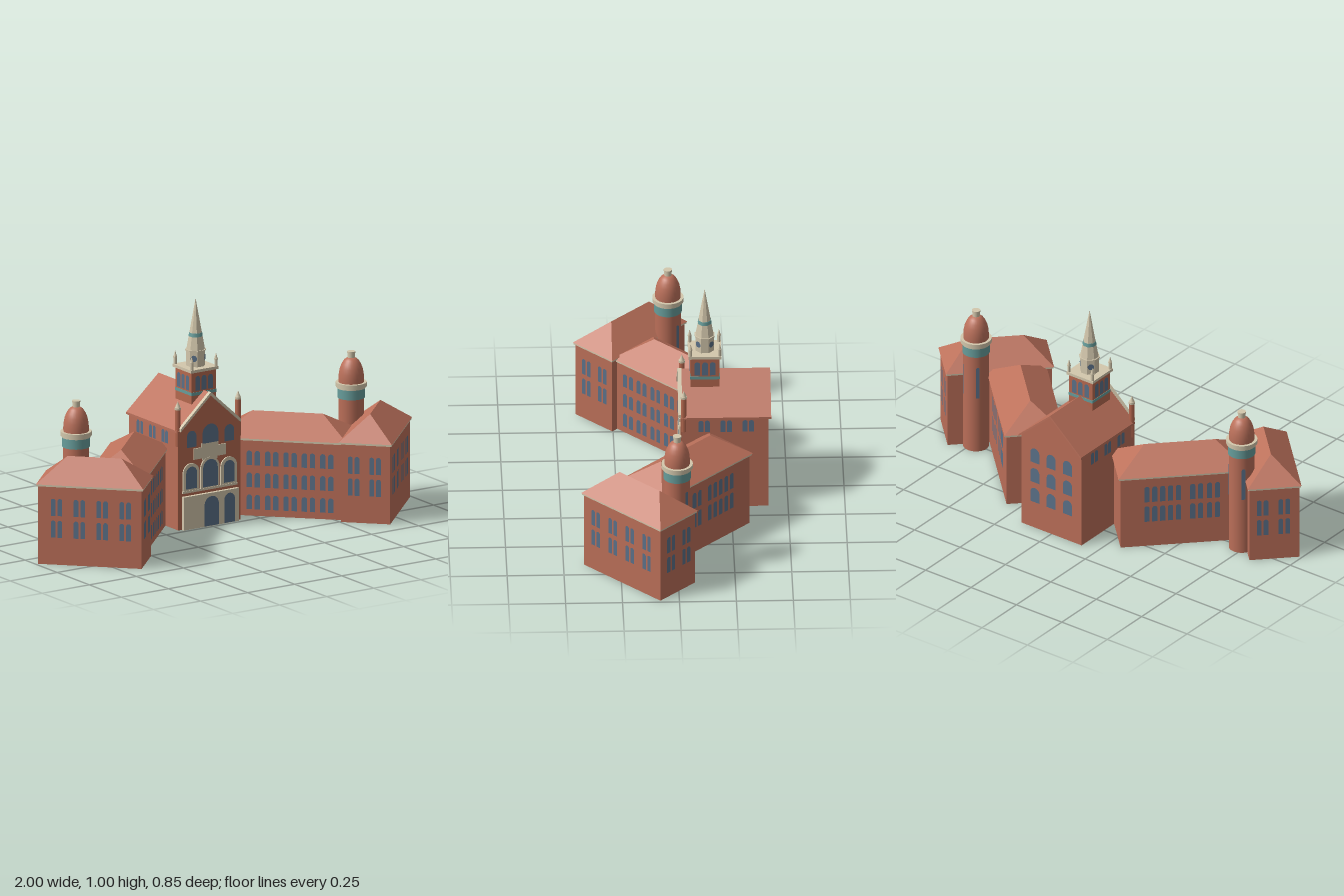
import * as THREE from 'three';

const mat = (name, color, extra = {}) => {
  const m = new THREE.MeshStandardMaterial({ color, ...extra });
  m.name = name;
  return m;
};

export function createModel() {
  const brick = mat('brick', 0xba6e58, { side: THREE.DoubleSide });
  const facadeBrick = mat('facadeBrick', 0xb5684f);
  const tile = mat('roofTile', 0xbc715b);
  const stone = mat('paleStone', 0xd3c7ac);
  const teal = mat('tealBand', 0x679d9b);
  const glass = mat('windowGlass', 0x5a7088);
  const stoneFlat = mat('spireStone', 0xd3c7ac, { flatShading: true });

  const model = new THREE.Group();
  model.name = 'hall';

  const add = (parent, name, geo, material, x = 0, y = 0, z = 0, ry = 0) => {
    const m = new THREE.Mesh(geo, material);
    m.name = name;
    m.position.set(x, y, z);
    m.rotation.y = ry;
    parent.add(m);
    return m;
  };
  // box given by its limits
  const block = (parent, name, material, x0, x1, y0, y1, z0, z1) =>
    add(parent, name, new THREE.BoxGeometry(x1 - x0, y1 - y0, z1 - z0), material,
      (x0 + x1) / 2, (y0 + y1) / 2, (z0 + z1) / 2);
  // four walls only, open above and below
  const walls = (...args) => {
    const g = block(...args).geometry;
    g.setIndex([...g.index.array].filter((_, i) => i < 12 || i >= 24));
    g.clearGroups();
  };

  const poly = pts => new THREE.Shape(pts.map(p => new THREE.Vector2(...p)));
  const extrude = (shapes, depth) =>
    new THREE.ExtrudeGeometry(shapes, { depth, bevelEnabled: false, curveSegments: 6 });

  // round-headed opening
  const arch = (cx, y0, w, h) => {
    const r = w / 2, s = new THREE.Shape();
    s.moveTo(cx - r, y0);
    s.lineTo(cx + r, y0);
    s.lineTo(cx + r, y0 + h - r);
    s.absarc(cx, y0 + h - r, r, 0, Math.PI, false);
    s.closePath();
    return s;
  };
  // grid of flat arched panes just proud of one wall
  const panes = (parent, name, xs, ys, w, h, x, z, ry) =>
    add(parent, name, new THREE.ShapeGeometry(xs.flatMap(cx => ys.map(y => arch(cx, y, w, h))), 6), glass,
      x + 0.002 * Math.sin(ry), 0, z + 0.002 * Math.cos(ry), ry);
  const pairs = (centres, gap = 0.03) => centres.flatMap(c => [c - gap / 2, c + gap / 2]);

  // hipped roof slopes, ridge along the longer side
  const hipRoof = (lx, lz, h) => {
    const a = lx / 2, b = lz / 2, i = Math.min(a, b);
    const rx = a - i, rz = b - i;
    const c = [[-a, 0, b], [a, 0, b], [a, 0, -b], [-a, 0, -b]];
    const t = [[-rx, h, rz], [rx, h, rz], [rx, h, -rz], [-rx, h, -rz]];
    const out = [];
    for (let k = 0; k < 4; k++) {
      const n = (k + 1) % 4;
      out.push(...c[k], ...c[n], ...t[n], ...c[k], ...t[n], ...t[k]);
    }
    const g = new THREE.BufferGeometry();
    g.setAttribute('position', new THREE.Float32BufferAttribute(out, 3));
    g.computeVertexNormals();
    return g;
  };

  // walls, cornice and roof of one range of buildings
  const range = (parent, name, u0, u1, z0, z1, eave, ridge, inset) => {
    walls(parent, name + 'Walls', brick, u0 + inset, u1 - inset, 0, eave - 0.008, z0 + inset, z1 - inset);
    const e = 0.003;
    block(parent, name + 'Cornice', stone, u0 + e, u1 - e, eave - 0.009, eave, z0 + e, z1 - e);
    add(parent, name + 'Roof', hipRoof(u1 - u0, z1 - z0, ridge - eave), tile,
      (u0 + u1) / 2, eave, (z0 + z1) / 2);
  };

  // ---- the two diagonal wings: local x runs outward, s sets the front side
  for (const s of [1, -1]) {
    const wing = new THREE.Group();
    wing.name = s > 0 ? 'leftWing' : 'rightWing';
    wing.rotation.y = s > 0 ? -Math.PI / 4 : -3 * Math.PI / 4;
    model.add(wing);
    const Z = v => -s * v;
    const span = (a, b) => [Math.min(Z(a), Z(b)), Math.max(Z(a), Z(b))];
    const front = s > 0 ? 0 : Math.PI, back = Math.PI - front;
    const along = (list, ry) => list.map(u => (ry === 0 ? u : -u));

    range(wing, 'innerRange', -0.02, 0.56, ...span(0.198, 0.464), 0.352, 0.446, 0.011);
    range(wing, 'pavilion', 0.527, 0.766, ...span(0.168, 0.648), 0.363, 0.467, 0.009);

    // inner range windows
    const fu = pairs([0.14, 0.222, 0.304, 0.386, 0.468], 0.036);
    panes(wing, 'innerFrontWindows', along(fu, front), [0.03, 0.13, 0.23], 0.024, 0.066, 0, Z(0.209), front);
    const bu = [0.107, 0.142, 0.177, 0.212, 0.247, 0.31, 0.345, 0.385, 0.42];
    panes(wing, 'innerBackWindows', along(bu, back), [0.123, 0.222], 0.023, 0.078, 0, Z(0.453), back);

    // pavilion windows
    const rows = [0.123, 0.222];
    const pv = pairs([0.25, 0.353, 0.455, 0.557]).map(v => s * v);
    panes(wing, 'pavilionOuterWindows', pv, rows, 0.021, 0.078, 0.757, 0, Math.PI / 2);
    const pu = pairs([0.594, 0.69]);
    panes(wing, 'pavilionFrontWindows', along(pu, front), rows, 0.021, 0.078, 0, Z(0.177), front);
    panes(wing, 'pavilionBackWindows', along(pu, back), rows, 0.021, 0.078, 0, Z(0.639), back);

    // round stair tower in the rear corner
    const tower = new THREE.Group();
    tower.name = 'stairTower';
    tower.position.set(0.519, 0, Z(0.515));
    wing.add(tower);
    const drum = (name, m, r, y0, y1, open = false) =>
      add(tower, name, new THREE.CylinderGeometry(r, r, y1 - y0, 28, 1, open), m, 0, (y0 + y1) / 2, 0);
    drum('towerShaft', brick, 0.057, 0, 0.485, true);
    drum('towerTealBand', teal, 0.061, 0.478, 0.523);
    drum('towerLedge', stone, 0.064, 0.522, 0.53);
    drum('towerStoneRing', stone, 0.069, 0.529, 0.548);
    const dome = [[0, 0.66], [0.018, 0.658], [0.031, 0.648], [0.042, 0.631], [0.05, 0.611],
      [0.0545, 0.588], [0.0565, 0.565], [0.056, 0.546]].reverse().map(p => new THREE.Vector2(...p));
    add(tower, 'towerDome', new THREE.LatheGeometry(dome, 28), tile);
    drum('domeFinial', stone, 0.0165, 0.652, 0.68);
    drum('domeFinialCap', stone, 0.0185, 0.678, 0.686);
    panes(tower, 'towerSlit', [0], [0.27], 0.016, 0.155, 0, Z(0.056), back);
    panes(tower, 'towerSlit', [0], [0.27], 0.016, 0.155, -0.056, 0, -Math.PI / 2);
  }

  // ---- central gabled hall
  const centre = new THREE.Group();
  centre.name = 'centralHall';
  model.add(centre);
  walls(centre, 'hallWalls', brick, -0.166, 0.166, 0, 0.448, -0.415, -0.035);
  const peak = poly([[-0.166, 0.448], [0.166, 0.448], [0, 0.597]]);
  add(centre, 'rearGable', new THREE.ShapeGeometry(peak), brick, 0, 0, -0.415, Math.PI);
  const facade = poly([[-0.166, 0], [0.166, 0], [0.166, 0.448], [0, 0.597], [-0.166, 0.448]]);
  add(centre, 'facade', extrude(facade, 0.005), facadeBrick, 0, 0, -0.035);
  const chevron = (w, y0, y1, t) => poly([[-w, y0], [-w, y0 - t], [0, y1 - t], [w, y0 - t], [w, y0], [0, y1]]);
  add(centre, 'hallRoof', extrude(chevron(0.172, 0.452, 0.604, 0.01), 0.39), tile, 0, 0, -0.426);
  add(centre, 'gableCoping', extrude(chevron(0.16, 0.462, 0.607, 0.014), 0.018), stone, 0, 0, -0.036);

  // front corner turrets
  for (const s of [1, -1]) {
    add(centre, 'cornerTurret', new THREE.CylinderGeometry(0.0125, 0.0125, 0.17, 8), facadeBrick, s * 0.16, 0.465, -0.042);
    add(centre, 'turretCollar', new THREE.CylinderGeometry(0.0145, 0.0145, 0.01, 8), stone, s * 0.16, 0.551, -0.042);
    add(centre, 'turretCap', new THREE.ConeGeometry(0.0135, 0.03, 8), stone, s * 0.16, 0.569, -0.042);
  }

  // stone porch with two doorways
  block(centre, 'porch', stone, -0.147, 0.147, 0, 0.15, -0.034, -0.014);
  const doors = [arch(0, 0.002, 0.076, 0.134), arch(0.095, 0.002, 0.056, 0.134)];
  add(centre, 'porchDoors', new THREE.ShapeGeometry(doors, 6), glass, 0, 0, -0.012);
  block(centre, 'stringCourse', stone, -0.145, 0.145, 0.164, 0.174, -0.034, -0.022);

  // facade stonework and windows
  const frames = [arch(0, 0.172, 0.1, 0.14), arch(-0.1, 0.172, 0.086, 0.125), arch(0.1, 0.172, 0.086, 0.125)];
  add(centre, 'windowSurrounds', extrude(frames, 0.006), stone, 0, 0, -0.03);
  const panel = poly([[-0.04, 0.3], [0.04, 0.3], [0.04, 0.31], [0.085, 0.31], [0.085, 0.36], [0.045, 0.36],
    [0.045, 0.376], [-0.045, 0.376], [-0.045, 0.36], [-0.085, 0.36], [-0.085, 0.31], [-0.04, 0.31]]);
  add(centre, 'stonePanel', extrude(panel, 0.005), stone, 0, 0, -0.03);
  const lights = [arch(0, 0.178, 0.078, 0.124)];
  for (const x of [-0.1, 0.1]) lights.push(arch(x, 0.182, 0.058, 0.1), arch(x, 0.37, 0.05, 0.075));
  lights.push(arch(0, 0.377, 0.084, 0.086));
  add(centre, 'facadeWindows', new THREE.ShapeGeometry(lights, 6), glass, 0, 0, -0.022);

  // side and rear windows
  for (const s of [1, -1]) {
    const zs = pairs([0.325, 0.228, 0.131], 0.028).map(z => s * z);
    panes(centre, 'hallSideWindows', zs, [0.378], 0.022, 0.058, s * 0.166, 0, s * Math.PI / 2);
  }
  panes(centre, 'hallBackWindows', [-0.09, 0, 0.09], [0.13, 0.23, 0.33], 0.05, 0.072, 0, -0.415, Math.PI);

  // ---- belfry and spire
  const belfry = new THREE.Group();
  belfry.name = 'belfry';
  belfry.position.z = -0.138;
  model.add(belfry);
  const square = (name, m, r, y0, y1) => block(belfry, name, m, -r, r, y0, y1, -r, r);
  square('belfryWalls', facadeBrick, 0.064, 0.545, 0.695);
  square('belfryTealBand', teal, 0.0655, 0.586, 0.6);
  square('belfryLedge', stone, 0.073, 0.691, 0.704);
  for (let k = 0; k < 4; k++) {
    const a = k * Math.PI / 2, d = a + Math.PI / 4;
    panes(belfry, 'belfryWindows', [-0.034, 0, 0.034], [0.607], 0.025, 0.066,
      0.064 * Math.sin(a), 0.064 * Math.cos(a), a);
    // corner pinnacles
    const px = 0.091 * Math.sin(d), pz = 0.091 * Math.cos(d);
    add(belfry, 'pinnacleShaft', new THREE.CylinderGeometry(0.0075, 0.0075, 0.034, 8), stoneFlat, px, 0.719, pz);
    add(belfry, 'pinnacleCollar', new THREE.CylinderGeometry(0.009, 0.009, 0.005, 8), stoneFlat, px, 0.736, pz);
    add(belfry, 'pinnacleTip', new THREE.ConeGeometry(0.008, 0.028, 8), stoneFlat, px, 0.752, pz);
    // round lantern openings on the diagonal faces
    add(belfry, 'lanternWindow', new THREE.CircleGeometry(0.0145, 16), glass,
      0.0415 * Math.sin(d), 0.742, 0.0415 * Math.cos(d), d);
  }
  const oct = (name, m, r1, r0, y0, y1) =>
    add(belfry, name, new THREE.CylinderGeometry(r1, r0, y1 - y0, 8), m, 0, (y0 + y1) / 2, 0, Math.PI / 8);
  oct('lantern', stoneFlat, 0.043, 0.043, 0.7, 0.775);
  oct('lanternCornice', stoneFlat, 0.047, 0.047, 0.772, 0.778);
  oct('spire', stoneFlat, 0.001, 0.042, 0.777, 1.003);
  const spireR = y => 0.042 * (1.003 - y) / 0.226 + 0.0015;
  oct('spireTealBand', teal, spireR(0.853), spireR(0.837), 0.837, 0.853);

  return model;
}
